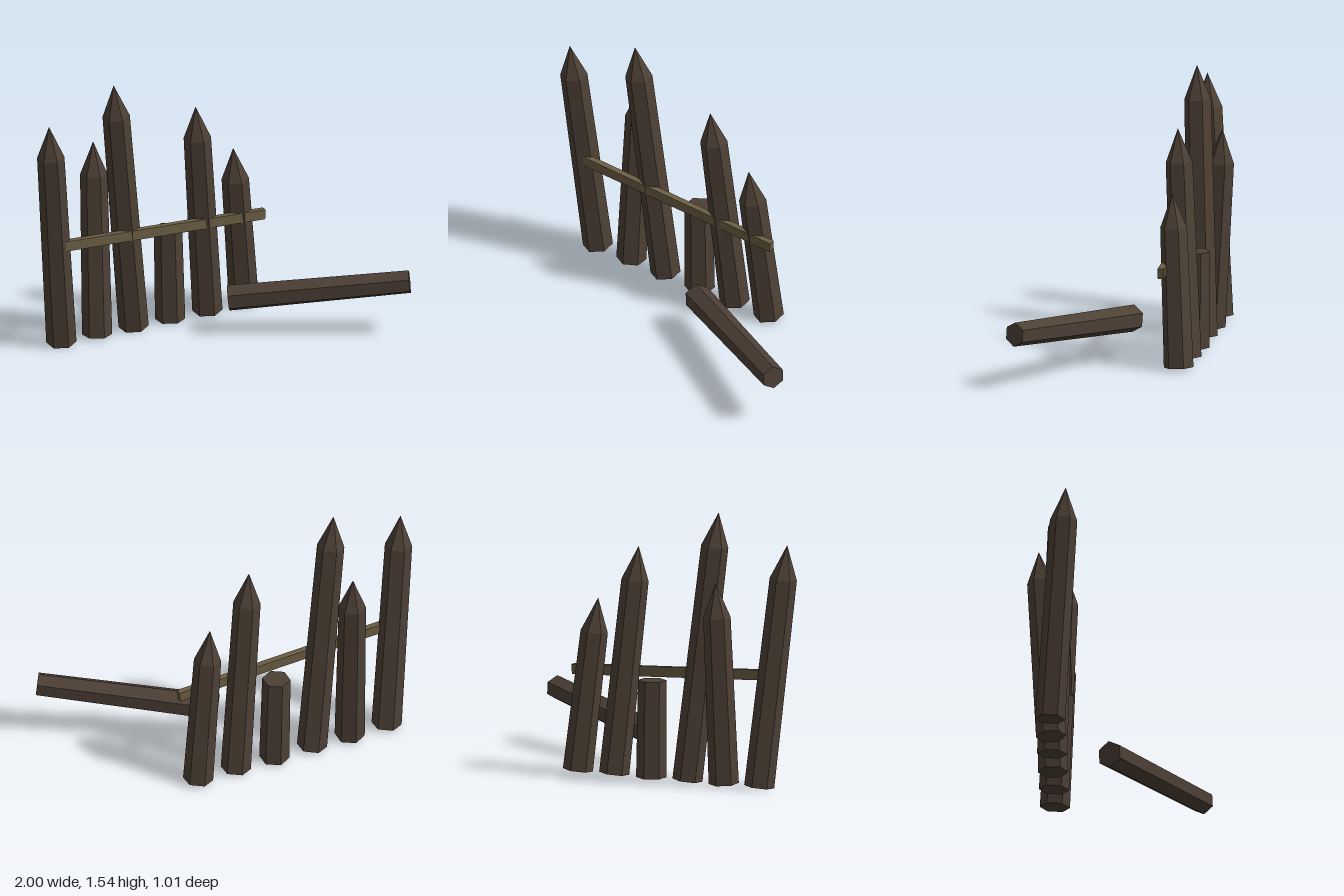
import * as THREE from 'three';

const bark = new THREE.MeshStandardMaterial({ color: 0x4d4035 });
bark.name = 'dark bark';
bark.flatShading = true;
const plank = new THREE.MeshStandardMaterial({ color: 0x6b5d43 });
plank.name = 'weathered plank';

const BASE_R = 0.085, TOP_R = 0.077, TIP = 0.195;

// Places a y-axis mesh at the start point, aimed at the end, with its local z nearest to ref
function aim(object, from, to, ref) {
  const y = to.clone().sub(from).normalize();
  const x = y.clone().cross(ref).normalize();
  const z = x.clone().cross(y);
  object.quaternion.setFromRotationMatrix(new THREE.Matrix4().makeBasis(x, y, z));
  object.position.copy(from);
}

// Six-sided log, narrowing upwards, with an optional sharpened point
function makeLog(name, from, to, ref, r0, r1, tipLength) {
  const group = new THREE.Group();
  group.name = name;
  const shaftLength = from.distanceTo(to) - tipLength;
  const shaft = new THREE.Mesh(
    new THREE.CylinderGeometry(r1, r0, shaftLength, 6, 1, tipLength > 0), bark);
  shaft.name = 'shaft';
  shaft.position.y = shaftLength / 2;
  group.add(shaft);
  if (tipLength > 0) {
    const point = new THREE.Mesh(new THREE.ConeGeometry(r1, tipLength, 6, 1, true), bark);
    point.name = 'point';
    point.position.y = shaftLength + tipLength / 2;
    const foot = new THREE.Mesh(new THREE.CircleGeometry(r0, 6, Math.PI / 2), bark);
    foot.name = 'foot';
    foot.rotation.x = Math.PI / 2;
    group.add(point, foot);
  }
  aim(group, from, to, ref);
  return group;
}

export function createModel() {
  const model = new THREE.Group();
  model.name = 'brokenPalisade';
  const front = new THREE.Vector3(0, 0, 1);
  const up = new THREE.Vector3(0, 1, 0);

  // Leaning stakes: base x, then the end x, y, z
  const stakes = [
    [-0.82, -0.95, 1.385, -0.28],
    [-0.59, -0.577, 1.16, -0.44],
    [-0.355, -0.52, 1.54, -0.305],
    [0.12, 0.003, 1.305, -0.297],
    [0.355, 0.255, 0.993, -0.315],
  ];
  for (const [x, tx, ty, tz] of stakes) {
    model.add(makeLog('stake', new THREE.Vector3(x, 0.011, -0.37),
      new THREE.Vector3(tx, ty, tz), front, BASE_R, TOP_R, TIP));
  }

  // Stake snapped off short
  model.add(makeLog('brokenStake', new THREE.Vector3(-0.12, 0.008, -0.37),
    new THREE.Vector3(-0.13, 0.563, -0.376), front, BASE_R, 0.08, 0));

  // Log lying loose in front
  model.add(makeLog('fallenLog', new THREE.Vector3(0.08, 0.21, -0.057),
    new THREE.Vector3(0.964, 0.315, 0.452), up, 0.078, 0.069, 0));

  // Sagging cross rail
  const rail = new THREE.Mesh(new THREE.BoxGeometry(1.296, 0.058, 0.036), plank);
  rail.name = 'crossRail';
  rail.position.set(-0.212, 0.603, -0.283);
  rail.rotation.z = -0.053;
  model.add(rail);

  return model;
}
